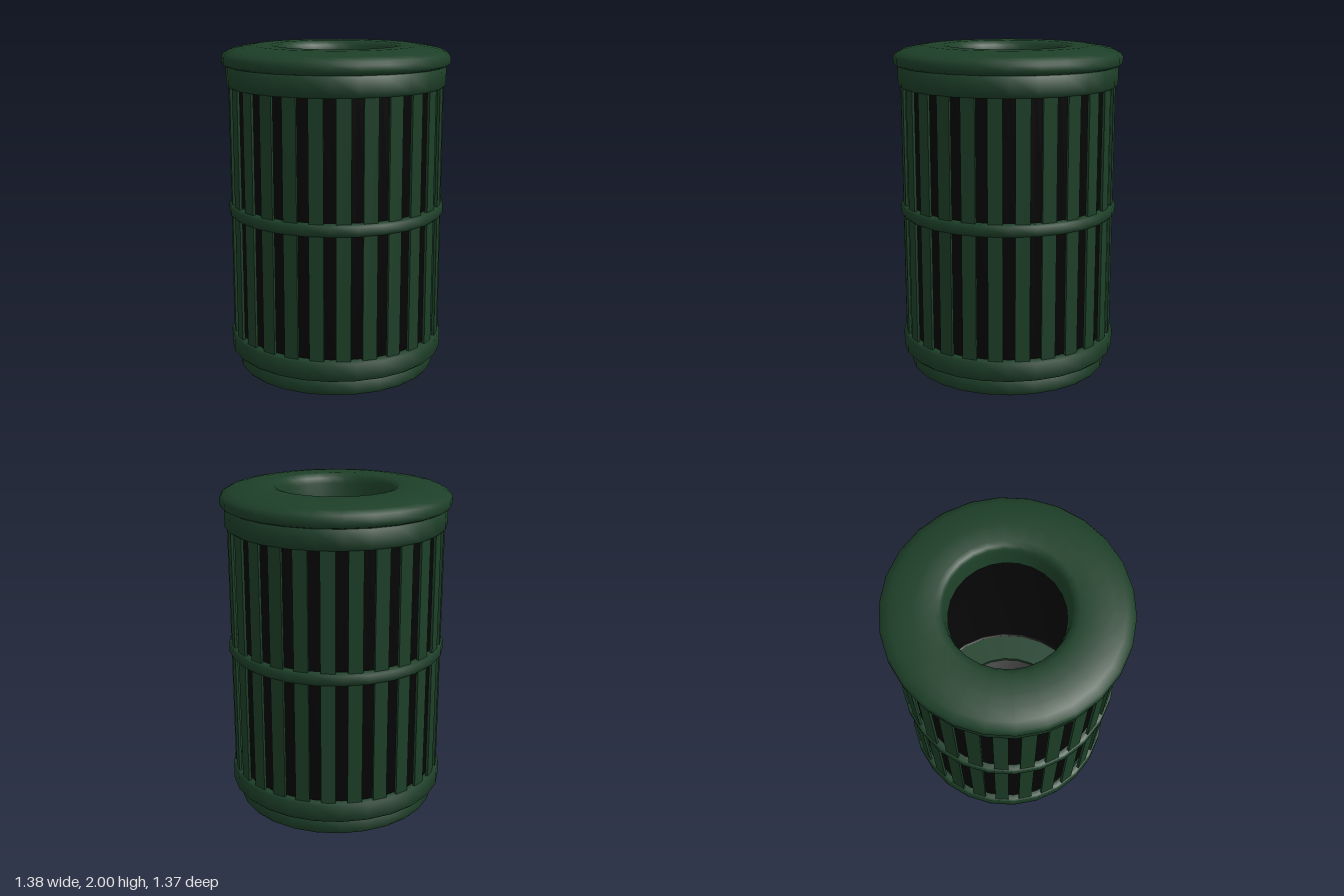
import * as THREE from 'three';
import { toCreasedNormals } from 'three/addons/utils/BufferGeometryUtils.js';

const SIDES = 26;

export function createModel() {
  const green = new THREE.MeshStandardMaterial({ color: 0x1d3f28 });
  green.name = 'dark green paint';
  const black = new THREE.MeshStandardMaterial({ color: 0x060606, side: THREE.DoubleSide });
  black.name = 'black liner';

  const model = new THREE.Group();
  model.name = 'litterBin';

  // Revolve a [radius, height] profile, running up the outside and down the inside
  function ring(name, profile, material = green) {
    const points = profile.map(([r, y]) => new THREE.Vector2(r, y));
    const geometry = new THREE.LatheGeometry(points, SIDES, Math.PI / 2);
    const mesh = new THREE.Mesh(toCreasedNormals(geometry, 1), material);
    mesh.name = name;
    model.add(mesh);
  }

  // Hoop with eased outer edges
  function hoop(name, bottom, top) {
    const inner = 0.62, outer = 0.664, ease = 0.013;
    ring(name, [
      [inner, bottom], [outer - ease, bottom], [outer, bottom + ease],
      [outer, top - ease], [outer - ease, top], [inner, top], [inner, bottom],
    ]);
  }

  // Foot with a recessed underside and a central opening
  ring('base', [
    [0.41, 0.09], [0.57, 0.065], [0.58, 0], [0.605, 0], [0.615, 0.012],
    [0.615, 0.085], [0.595, 0.105], [0.595, 0.13], [0.41, 0.13], [0.41, 0.09],
  ]);

  hoop('bottomHoop', 0.105, 0.23);
  hoop('middleHoop', 0.975, 1.05);
  hoop('topHoop', 1.755, 1.885);

  // Thin upright slats
  const slats = new THREE.Group();
  slats.name = 'slats';
  const slatGeometry = new THREE.BoxGeometry(0.086, 1.62, 0.016);
  for (let i = 0; i < SIDES; i++) {
    const angle = (i / SIDES) * Math.PI * 2;
    const slat = new THREE.Mesh(slatGeometry, green);
    slat.name = 'slat';
    slat.position.set(Math.sin(angle) * 0.64, 0.99, Math.cos(angle) * 0.64);
    slat.rotation.y = angle;
    slats.add(slat);
  }
  model.add(slats);

  // Inner bucket
  ring('liner', [[0, 0.1], [0.5, 0.1], [0.594, 0.132], [0.6, 0.14], [0.6, 1.88]], black);

  // Domed lid with a funnel-shaped opening
  ring('lid', [
    [0.6, 1.88], [0.665, 1.88], [0.685, 1.89], [0.69, 1.905], [0.69, 1.935],
    [0.677, 1.955], [0.635, 1.977], [0.57, 1.991], [0.5, 2], [0.39, 2],
    [0.362, 1.992], [0.348, 1.972], [0.34, 1.94], [0.326, 1.85],
    [0.345, 1.85], [0.37, 1.95], [0.6, 1.95], [0.6, 1.88],
  ]);

  return model;
}
